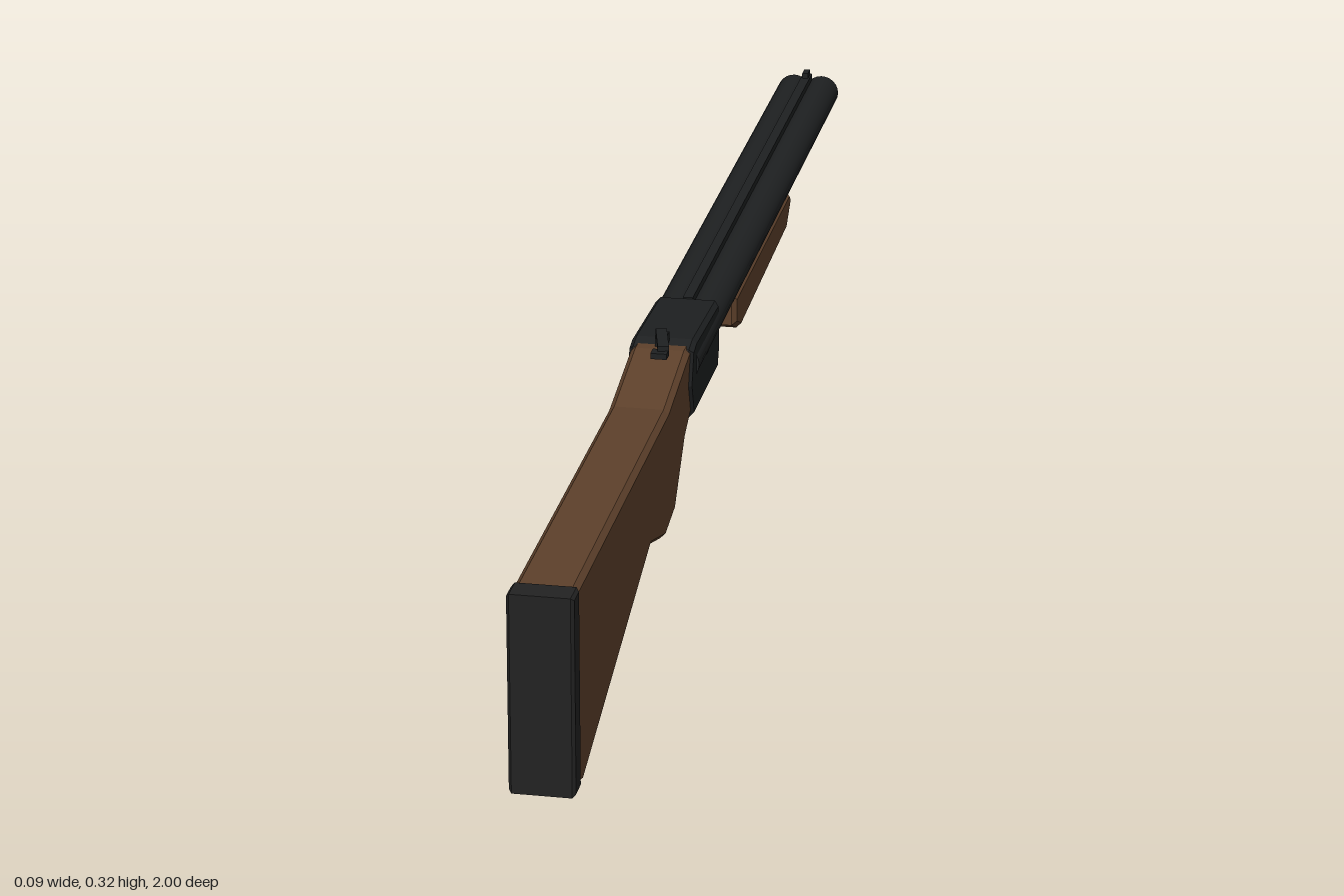
import * as THREE from 'three';
import { toCreasedNormals } from 'three/addons/utils/BufferGeometryUtils.js';

const wood = new THREE.MeshStandardMaterial({ name: 'walnut brown', color: 0x5e412b });
const steel = new THREE.MeshStandardMaterial({ name: 'blued steel', color: 0x1e2021 });
const rubber = new THREE.MeshStandardMaterial({ name: 'black rubber', color: 0x222222 });

export function createModel() {
  const model = new THREE.Group();
  model.name = 'doubleBarrelLongGun';

  const add = (name, geometry, material, parent = model) => {
    const mesh = new THREE.Mesh(geometry, material);
    mesh.name = name;
    parent.add(mesh);
    return mesh;
  };

  // Side profile of [z, y] points, extruded across x with chamfered edges
  const slab = (points, halfWidth, bevel) => {
    const shape = new THREE.Shape(points.map(([z, y]) => new THREE.Vector2(z, y)));
    const depth = 2 * (halfWidth - bevel);
    return new THREE.ExtrudeGeometry(shape, {
      depth, bevelEnabled: true, bevelThickness: bevel, bevelSize: bevel,
      bevelOffset: -bevel, bevelSegments: 1,
    }).translate(0, 0, -depth / 2).rotateY(-Math.PI / 2);
  };

  const box = (name, size, position, material, parent) => {
    const mesh = add(name, new THREE.BoxGeometry(...size), material, parent);
    mesh.position.set(...position);
    return mesh;
  };

  // Flat bar running between two points
  const bar = (name, from, to, width, thick, parent) => {
    const a = new THREE.Vector3(...from), b = new THREE.Vector3(...to);
    const mesh = add(name, new THREE.BoxGeometry(width, thick, a.distanceTo(b) + thick * 0.6), steel, parent);
    mesh.position.copy(a).add(b).multiplyScalar(0.5);
    mesh.lookAt(b);
    return mesh;
  };

  // Shoulder stock and butt pad
  add('stock', slab([
    [0.966, 0.27], [0.38, 0.272], [0.235, 0.3], [0.2, 0.3], [0.2, 0.205], [0.22, 0.205],
    [0.262, 0.185], [0.334, 0.11], [0.404, 0.099], [0.505, 0.13], [0.945, 0.0], [0.966, 0.006],
  ], 0.04, 0.007), wood);
  add('buttPad', slab([[0.964, 0.005], [1, 0.005], [1, 0.271], [0.964, 0.271]], 0.042, 0.004), rubber);

  // Receiver
  add('receiver', slab([
    [0.024, 0.23], [0.036, 0.2], [0.222, 0.2], [0.241, 0.25],
    [0.226, 0.298], [0.2, 0.304], [0.03, 0.297],
  ], 0.044, 0.006), steel);

  // Twin barrels with open bores
  const barrels = new THREE.Group();
  barrels.name = 'barrels';
  model.add(barrels);
  const tube = toCreasedNormals(new THREE.LatheGeometry([
    [0, -0.2], [0.026, -0.2], [0.026, 0.996], [0.022, 1], [0.018, 1], [0.018, 0.94], [0, 0.94],
  ].map(([r, y]) => new THREE.Vector2(r, y)), 24).rotateX(-Math.PI / 2), 0.5);
  for (const side of [-1, 1]) {
    add(side > 0 ? 'leftBarrel' : 'rightBarrel', tube, steel, barrels).position.set(side * 0.0215, 0.268, 0);
  }
  box('sightRib', [0.014, 0.022, 1.02], [0, 0.288, -0.48], steel, barrels);
  box('frontSight', [0.009, 0.012, 0.02], [0, 0.301, -0.975], steel, barrels);

  // Fore-end under the barrels
  add('foreEnd', slab([
    [-0.1, 0.212], [-0.1, 0.256], [-0.555, 0.256], [-0.573, 0.24],
    [-0.53, 0.204], [-0.14, 0.194],
  ], 0.045, 0.007), wood);

  // Trigger guard and two triggers
  const guard = new THREE.Group();
  guard.name = 'triggerGuard';
  model.add(guard);
  const loop = [[0.23, 0.2], [0.197, 0.15], [0.14, 0.133], [0.077, 0.15], [0.056, 0.205]];
  for (let i = 1; i < loop.length; i++) {
    bar('guardStrap', [0, loop[i - 1][1], loop[i - 1][0]], [0, loop[i][1], loop[i][0]], 0.016, 0.01, guard);
  }
  [[0.137, 0.157, 0.154], [0.101, 0.116, 0.16]].forEach(([zTop, zTip, yTip], i) => {
    bar(i ? 'frontTrigger' : 'rearTrigger', [0, 0.205, zTop], [0, yTip, zTip], 0.011, 0.01, model);
  });

  // Opening lever on the tang
  const lever = new THREE.Group();
  lever.name = 'openingLever';
  model.add(lever);
  box('leverPost', [0.016, 0.02, 0.018], [0, 0.306, 0.217], steel, lever);
  bar('leverArm', [-0.002, 0.316, 0.212], [0.012, 0.316, 0.272], 0.015, 0.008, lever);
  box('leverThumbPiece', [0.022, 0.008, 0.018], [0.008, 0.309, 0.276], steel, lever);

  return model;
}
